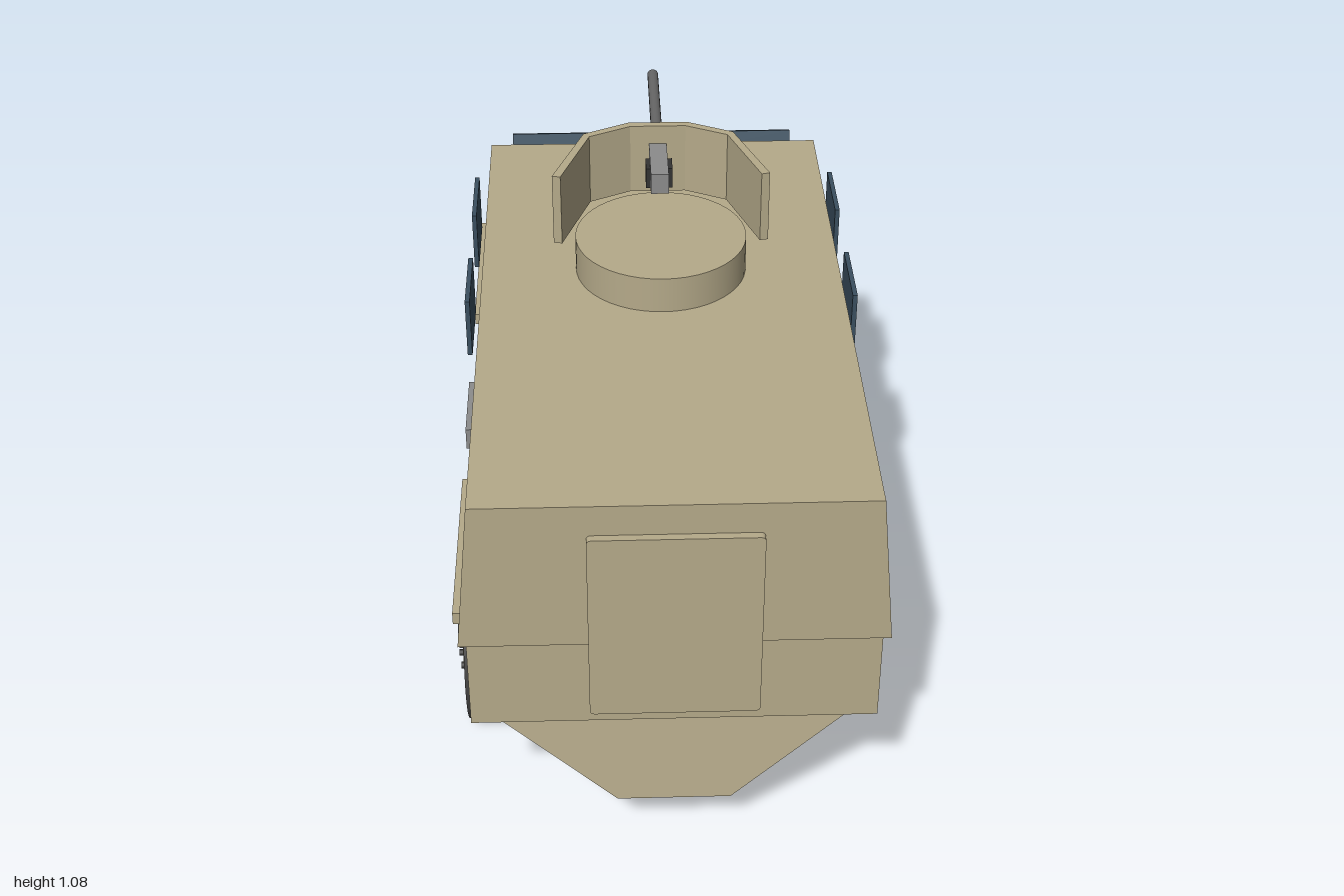
import * as THREE from 'three';

const mat = (color) => new THREE.MeshStandardMaterial({ color });
const tan = mat(0xb5aa8a), dark = mat(0x333333), rubber = mat(0x444444);
const glass = mat(0x3a4f5f), grey = mat(0x8c8c8c), gunmetal = mat(0x666666);

export function createModel() {
  const root = new THREE.Group();

  const add = (name, geometry, material, x = 0, y = 0, z = 0, parent = root) => {
    const mesh = new THREE.Mesh(geometry, material);
    mesh.name = name;
    mesh.position.set(x, y, z);
    parent.add(mesh);
    return mesh;
  };
  const box = (name, w, h, d, material, x, y, z, parent) =>
    add(name, new THREE.BoxGeometry(w, h, d), material, x, y, z, parent);

  // Block whose bottom and top are different rectangles: [y, halfWidth, zNose, zRear]
  const hullBlock = (name, bottom, top) => {
    const g = new THREE.BoxGeometry(2, 2, 2);
    const p = g.attributes.position;
    for (let i = 0; i < p.count; i++) {
      const [y, hw, zNose, zRear] = p.getY(i) > 0 ? top : bottom;
      p.setXYZ(i, p.getX(i) * hw, y, p.getZ(i) > 0 ? zRear : zNose);
    }
    g.computeVertexNormals();
    return add(name, g, tan);
  };

  // Hull: V-shaped belly, middle with sloping bonnet, tapered cabin
  hullBlock('lowerHull', [0.13, 0.11, -0.91, 0.98], [0.34, 0.35, -0.83, 0.955]);
  hullBlock('middleHull', [0.34, 0.385, -0.96, 0.98], [0.54, 0.385, -0.51, 0.98]);
  hullBlock('cabin', [0.535, 0.4, -0.51, 0.985], [0.855, 0.37, -0.365, 0.985]);

  // Rear door with slightly rounded corners
  const w = 0.16, h = 0.208, r = 0.01;
  const doorShape = new THREE.Shape();
  doorShape.moveTo(-w + r, -h).lineTo(w - r, -h).quadraticCurveTo(w, -h, w, -h + r)
    .lineTo(w, h - r).quadraticCurveTo(w, h, w - r, h)
    .lineTo(-w + r, h).quadraticCurveTo(-w, h, -w, h - r)
    .lineTo(-w, -h + r).quadraticCurveTo(-w, -h, -w + r, -h);
  add('rearDoor', new THREE.ExtrudeGeometry(doorShape, { depth: 0.02, bevelEnabled: false }),
    tan, 0, 0.582, 0.98);

  // Windscreen and bumper with lamps
  box('windscreen', 0.65, 0.125, 0.012, glass, 0, 0.765, -0.456).rotation.x = -0.35;
  box('bumper', 0.64, 0.11, 0.035, dark, 0, 0.42, -0.982);

  // Wheel built along +x: tyre, rim, bolts, cap
  const disc = (radius, x0, x1, seg) =>
    new THREE.CylinderGeometry(radius, radius, x1 - x0, seg).rotateZ(-Math.PI / 2)
      .translate((x0 + x1) / 2, 0, 0);
  const makeWheel = () => {
    const wheel = new THREE.Group();
    wheel.name = 'wheel';
    add('tyre', disc(0.19, -0.0675, 0.0675, 40), rubber, 0, 0, 0, wheel);
    add('rim', disc(0.115, 0.05, 0.074, 32), tan, 0, 0, 0, wheel);
    add('hubCap', disc(0.045, 0.06, 0.088, 24), grey, 0, 0, 0, wheel);
    for (let i = 0; i < 8; i++) {
      const a = (i / 8) * Math.PI * 2;
      add('wheelBolt', disc(0.007, 0.065, 0.084, 8), dark, 0,
        Math.sin(a) * 0.08, Math.cos(a) * 0.08, wheel);
    }
    return wheel;
  };

  // Parts repeated on both sides
  for (const s of [-1, 1]) {
    box('headlamp', 0.065, 0.04, 0.022, tan, s * 0.275, 0.455, -0.956);
    box('sideStep', 0.06, 0.052, 0.19, grey, s * 0.407, 0.325, -0.045);
    for (const z of [0.148, -0.207])
      box('sideWindow', 0.01, 0.132, 0.175, glass, s * 0.402, 0.744, z);
    for (const z of [0.538, -0.546]) {
      const wheel = makeWheel();
      wheel.position.set(s * 0.3475, 0.193, z);
      wheel.rotation.y = s > 0 ? 0 : Math.PI;
      root.add(wheel);
      box('fenderStrip', 0.06, 0.027, 0.435, tan, s * 0.398, 0.404, z);
    }
  }

  // Turret ring and angled gun shield
  add('turretRing', new THREE.CylinderGeometry(0.176, 0.176, 0.08, 48), tan, 0, 0.892, 0.18);
  const half = [[0.22, 0.195], [0.156, 0.015], [0.062, -0.032]];
  const inner = [[0.203, 0.199], [0.144, 0.028], [0.058, -0.015]];
  const mirror = (pts) => [...pts, ...pts.map(([x, z]) => [-x, z]).reverse()];
  const outline = [...mirror(half), ...mirror(inner).reverse()];
  const shieldShape = new THREE.Shape(outline.map(([x, z]) => new THREE.Vector2(x, -z)));
  add('gunShield', new THREE.ExtrudeGeometry(shieldShape, { depth: 0.155, bevelEnabled: false })
    .rotateX(-Math.PI / 2), tan, 0, 0.925, 0);

  // Machine gun
  box('gunReceiver', 0.037, 0.045, 0.14, grey, 0, 1.016, 0.05);
  box('gunMount', 0.055, 0.045, 0.045, dark, 0, 1.01, 0.062);
  add('gunBarrel', new THREE.CylinderGeometry(0.012, 0.012, 0.37, 16).rotateX(Math.PI / 2),
    gunmetal, 0, 1.026, -0.185);

  return root;
}
